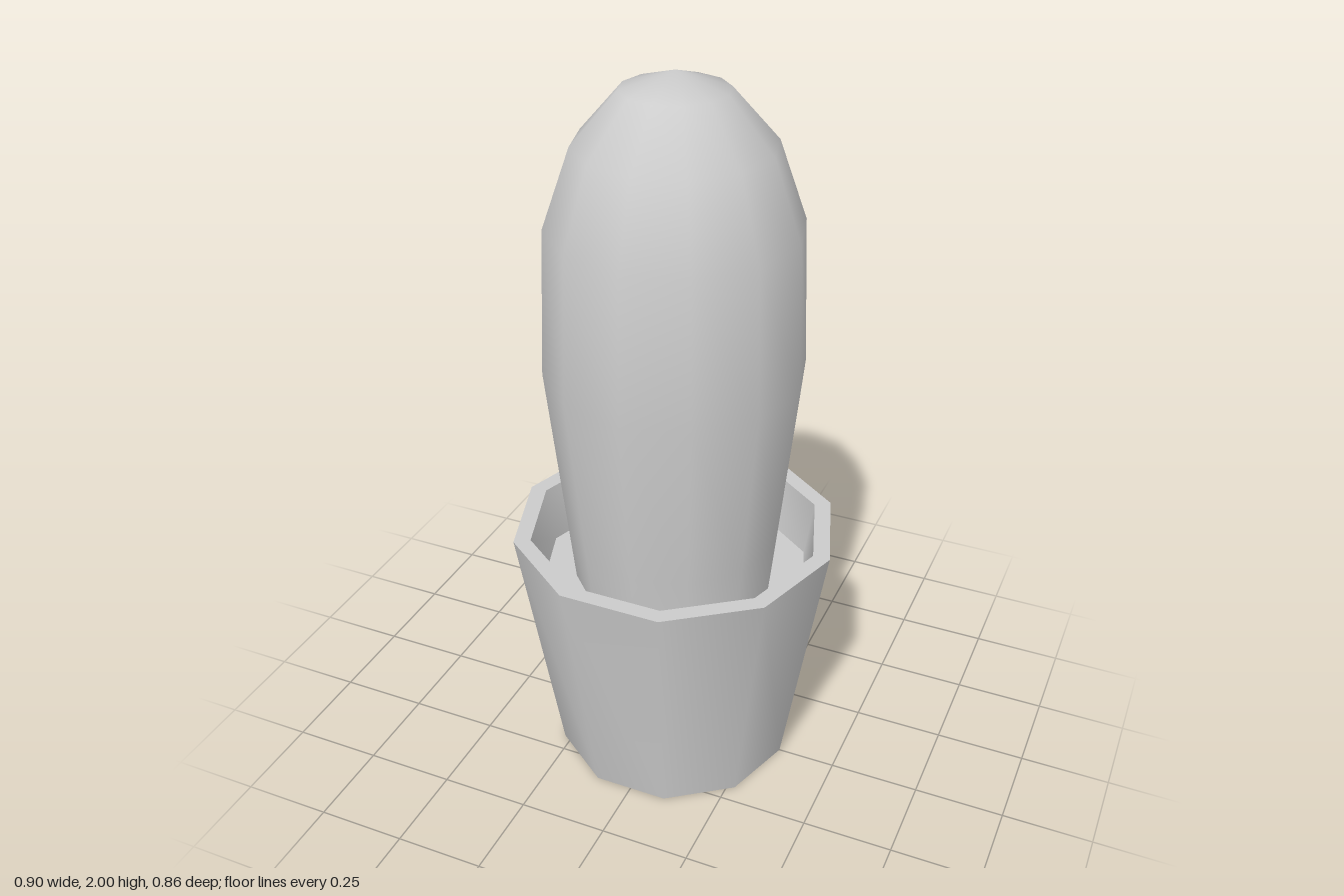
import * as THREE from 'three';
import { toCreasedNormals } from 'three/addons/utils/BufferGeometryUtils.js';

const material = new THREE.MeshStandardMaterial({ color: 0xcccccc, side: THREE.DoubleSide });

// Revolves [radius, height] pairs, with a corner on the +x axis
function turned(name, profile, sides) {
  const points = profile.map(([r, y]) => new THREE.Vector2(r, y));
  const lathe = new THREE.LatheGeometry(points, sides, Math.PI / 2);
  const mesh = new THREE.Mesh(toCreasedNormals(lathe, Math.PI / 4), material);
  mesh.name = name;
  return mesh;
}

export function createModel() {
  const model = new THREE.Group();
  model.name = 'pottedCactus';

  // Ten-sided tapered pot, open underneath: outer wall, flat rim, inner wall
  model.add(turned('pot', [[0.336, 0], [0.452, 0.72], [0.405, 0.72], [0.38, 0.56]], 10));

  // Soil surface inside the pot
  model.add(turned('soil', [[0.38, 0.56], [0, 0.56]], 10));

  // Twelve-sided rounded cactus body rising from the soil
  model.add(turned('cactus', [
    [0.278, 0.55], [0.296, 0.72], [0.347, 1.21], [0.331, 1.61],
    [0.257, 1.82], [0.138, 1.955], [0, 2],
  ], 12));

  return model;
}
